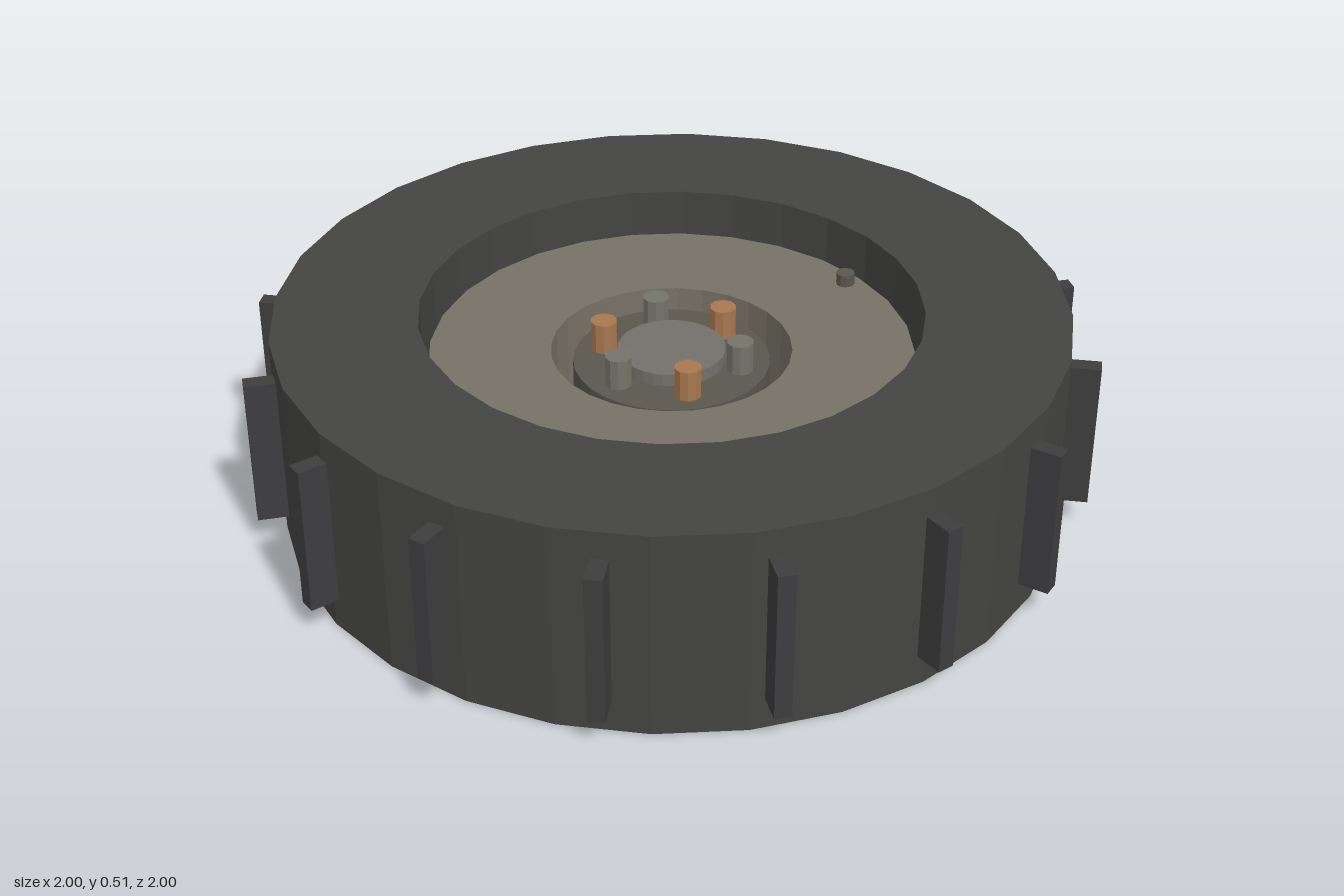
import * as THREE from 'three';

const SIDES = 28;
const MID = 0.255; // height of the wheel's middle plane

const paint = (color) => new THREE.MeshStandardMaterial({ color, flatShading: true });

export function createModel() {
  const wheel = new THREE.Group();
  wheel.name = 'wheel';

  const rubber = paint(0x444442);
  const lugRubber = paint(0x3d3d3f);
  const rimMetal = paint(0x777266);
  const hubMetal = paint(0x5a574e);
  const capMetal = paint(0x73716a);
  const copper = paint(0xa8784f);
  const steel = paint(0x74746a);

  const add = (name, geometry, material, x = 0, y = 0, z = 0, parent = wheel) => {
    const mesh = new THREE.Mesh(geometry, material);
    mesh.name = name;
    mesh.position.set(x, y, z);
    parent.add(mesh);
    return mesh;
  };

  // Closed ring with a square section, centred on its own middle plane
  const ring = (inner, outer, height) => {
    const h = height / 2;
    const profile = [[inner, -h], [outer, -h], [outer, h], [inner, h], [inner, -h]];
    return new THREE.LatheGeometry(profile.map(([r, y]) => new THREE.Vector2(r, y)), SIDES);
  };

  // Tyre and rim
  add('tyre', ring(0.592, 0.933, 0.51), rubber, 0, MID);
  add('rim', ring(0.285, 0.573, 0.29), rimMetal, 0, MID);

  // Tread lugs around the tyre
  const lugs = new THREE.Group();
  lugs.name = 'treadLugs';
  wheel.add(lugs);
  const lugGeometry = new THREE.BoxGeometry(0.1, 0.365, 0.04);
  for (let i = 0; i < 16; i++) {
    const a = (i / 16) * Math.PI * 2;
    const lug = add('treadLug', lugGeometry, lugRubber, 0.95 * Math.cos(a), 0.26, 0.95 * Math.sin(a), lugs);
    lug.rotation.y = -a;
  }

  // Hub and centre cap
  add('hub', new THREE.CylinderGeometry(0.233, 0.233, 0.23, 32), hubMetal, 0, MID);
  add('hubCap', new THREE.CylinderGeometry(0.128, 0.128, 0.06, 32), capMetal, 0, 0.37);

  // Wheel bolts, alternating copper and steel
  const bolts = new THREE.Group();
  bolts.name = 'wheelBolts';
  wheel.add(bolts);
  const boltGeometry = new THREE.CylinderGeometry(0.032, 0.032, 0.1, 10);
  for (let i = 0; i < 6; i++) {
    const a = -0.122 - (i * Math.PI) / 3;
    add('wheelBolt', boltGeometry, i % 2 ? steel : copper, 0.168 * Math.cos(a), 0.395, 0.168 * Math.sin(a), bolts);
  }

  // Air valve on the rim face
  add('airValve', new THREE.CylinderGeometry(0.023, 0.023, 0.06, 10), hubMetal, 0.53, 0.4, 0);

  return wheel;
}
